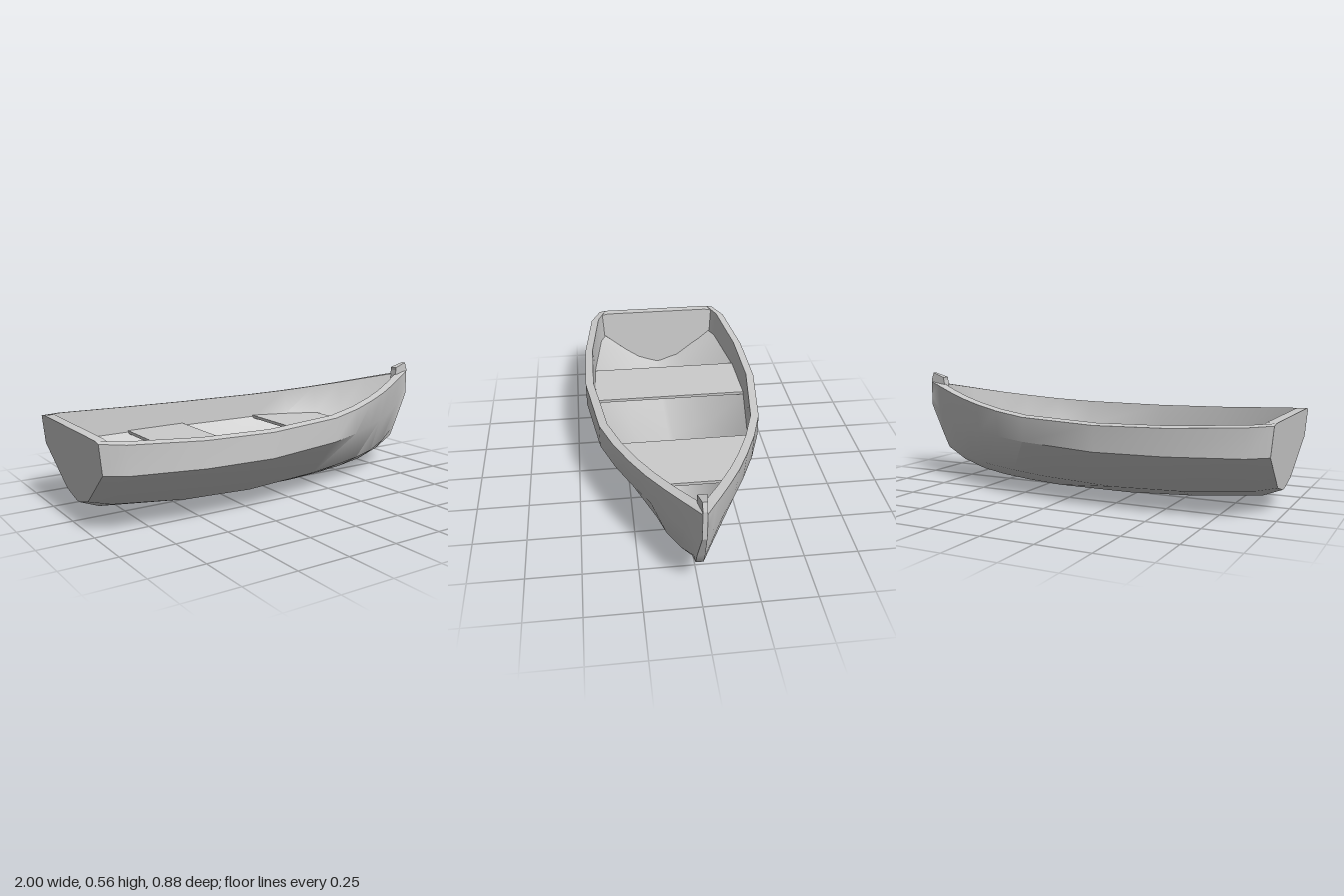
import * as THREE from 'three';
import { toCreasedNormals } from 'three/addons/utils/BufferGeometryUtils.js';

const material = new THREE.MeshStandardMaterial({ color: 0xcccccc });

// Skin a row of closed rings (ordered along +x), optionally closing both ends
function loft(name, rings, caps, crease) {
  const n = rings[0].length;
  const index = [];
  for (let i = 0; i < rings.length - 1; i++) {
    for (let j = 0; j < n; j++) {
      const a = i * n + j, b = i * n + (j + 1) % n;
      index.push(a, b, a + n, b, b + n, a + n);
    }
  }
  if (caps) {
    const e = (rings.length - 1) * n;
    for (let j = 1; j < n - 1; j++) index.push(0, j + 1, j, e, e + j, e + j + 1);
  }
  const geometry = new THREE.BufferGeometry();
  geometry.setAttribute('position', new THREE.Float32BufferAttribute(rings.flat(2), 3));
  geometry.setIndex(index);
  const mesh = new THREE.Mesh(toCreasedNormals(geometry, crease), material);
  mesh.name = name;
  return mesh;
}

// Rectangular bar along x: each row is x, half width, bottom, top
function bar(name, rows) {
  const rings = rows.map(([x, w, y0, y1]) => [[x, y1, w], [x, y0, w], [x, y0, -w], [x, y1, -w]]);
  return loft(name, rings, true, 0.2);
}

// Hull stations: x at rim, x at keel, rim (w, y), upper chine (w, y), lower chine (w, y), keel y, wall
const stations = [
  [-1.00, -0.97, 0.34, 0.43, 0.34, 0.29, 0.125, 0.12, 0.09, 0.035],
  [-0.90, -0.88, 0.39, 0.423, 0.388, 0.285, 0.17, 0.105, 0.055, 0.04],
  [-0.56, -0.55, 0.435, 0.405, 0.435, 0.275, 0.225, 0.083, 0.02, 0.04],
  [-0.22, -0.22, 0.44, 0.397, 0.44, 0.27, 0.24, 0.075, 0.002, 0.04],
  [0.18, 0.18, 0.385, 0.404, 0.385, 0.28, 0.21, 0.085, 0.002, 0.04],
  [0.36, 0.36, 0.327, 0.417, 0.322, 0.285, 0.18, 0.093, 0.012, 0.04],
  [0.52, 0.52, 0.262, 0.435, 0.25, 0.29, 0.148, 0.102, 0.027, 0.04],
  [0.65, 0.65, 0.203, 0.453, 0.185, 0.298, 0.115, 0.115, 0.048, 0.043],
  [0.78, 0.78, 0.135, 0.475, 0.116, 0.312, 0.066, 0.142, 0.09, 0.046],
  [0.885, 0.885, 0.076, 0.494, 0.06, 0.335, 0.026, 0.19, 0.15, 0.05],
  [0.92, 0.92, 0.055, 0.5, 0.044, 0.35, 0.02, 0.25, 0.22, 0.053],
  [1.00, 1.00, 0.01, 0.515, 0.01, 0.43, 0.01, 0.40, 0.38, 0.01],
];

// Half section as (w, y) points from the rim to the keel
function halfSections([, , rw, ry, cw, cy, lw, ly, ky, wall]) {
  const inset = (w, d) => Math.max(w - d, 0);
  const keel = Math.min(0.017, lw);
  return {
    outer: [[rw, ry - 0.007], [cw, cy], [lw, ly], [keel, ky]],
    inner: [[inset(rw, wall), ry], [inset(cw, wall + 0.008), cy], [inset(lw, 0.03), ly + 0.035], [inset(keel, 0.005), ky + 0.04]],
  };
}

// Place section points, leaning x from the rim towards the keel
function place(station, points, dx = 0) {
  const [xRim, xKeel, , ry, , , , , ky] = station;
  return points.map(([z, y]) => [xRim + (xKeel - xRim) * (ry - y) / (ry - ky) + dx, y, z]);
}

// Left half followed by its mirror image
const bothSides = (half) => [...half, ...half.map(([w, y]) => [-w, y]).reverse()];

export function createModel() {
  const boat = new THREE.Group();
  boat.name = 'rowingBoat';

  // Hull shell: outer skin, rim and inner skin in one closed loop
  const hullRings = stations.map((s) => {
    const { outer, inner } = halfSections(s);
    return place(s, [...bothSides(outer), ...bothSides(inner).reverse()]);
  });
  boat.add(loft('hull', hullRings, false, 0.65));

  // Raked transom closing the stern
  const stern = stations[0];
  const panel = halfSections(stern).outer;
  panel.unshift([stern[2] - stern[9], stern[3]]);
  const inset = panel.map(([w, y], i) => [Math.max(w - 0.015, 0.01), i > 1 ? y + 0.012 : y]);
  boat.add(loft('transom', [place(stern, bothSides(panel)), place(stern, bothSides(inset), 0.045)], true, 0.3));

  // Thwarts
  boat.add(bar('rearSeat', [[-0.545, 0.395, 0.267, 0.282], [-0.23, 0.398, 0.267, 0.282]]));
  boat.add(bar('frontSeat', [[0.18, 0.342, 0.272, 0.287], [0.36, 0.284, 0.272, 0.287], [0.52, 0.212, 0.272, 0.287]]));

  // Inner stem rising from the keel, and the raised stem head
  boat.add(bar('innerStem', [[0.72, 0.02, 0.08, 0.125], [0.85, 0.02, 0.18, 0.24], [0.91, 0.02, 0.28, 0.52], [0.95, 0.015, 0.36, 0.51]]));
  boat.add(bar('stemHead', [[0.91, 0.02, 0.5, 0.535], [0.985, 0.011, 0.42, 0.558], [1.0, 0.01, 0.38, 0.52]]));

  return boat;
}
